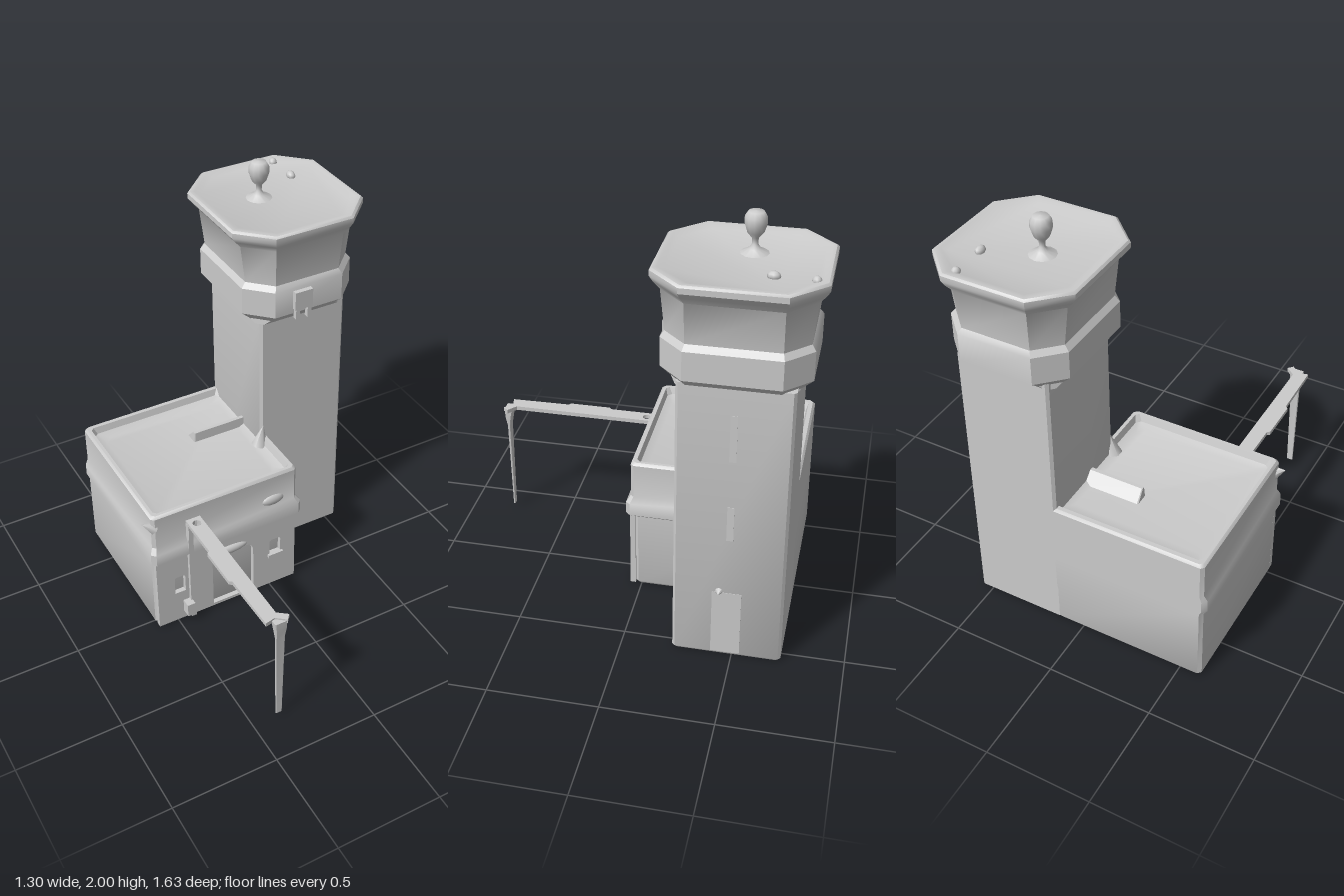
import * as THREE from 'three';
import { toCreasedNormals } from 'three/addons/utils/BufferGeometryUtils.js';

const material = new THREE.MeshStandardMaterial({ color: 0xcccccc });

// Stack of chamfered rectangles, each [y, x0, x1, z0, z1, chamfer], capped at both ends
function loft(rings, crease = 0.6) {
  const pos = [], index = [];
  for (const [y, x0, x1, z0, z1, c] of rings) {
    pos.push(x1, y, z0 + c, x1, y, z1 - c, x1 - c, y, z1, x0 + c, y, z1,
      x0, y, z1 - c, x0, y, z0 + c, x0 + c, y, z0, x1 - c, y, z0);
  }
  for (let i = 0; i < rings.length - 1; i++) {
    for (let j = 0; j < 8; j++) {
      const a = i * 8 + j, b = i * 8 + (j + 1) % 8;
      index.push(a, a + 8, b, b, a + 8, b + 8);
    }
  }
  const t = (rings.length - 1) * 8;
  for (let j = 1; j < 7; j++) index.push(0, j, j + 1, t, t + j + 1, t + j);
  const g = new THREE.BufferGeometry();
  g.setAttribute('position', new THREE.Float32BufferAttribute(pos, 3));
  g.setIndex(index);
  return toCreasedNormals(g, crease);
}

// Closed outline with optional arched top
function opening(x0, x1, y0, y1, r) {
  const p = new THREE.Path();
  p.moveTo(x0, y0);
  p.lineTo(x1, y0);
  p.lineTo(x1, y1 - r);
  p.quadraticCurveTo(x1, y1, x1 - r, y1);
  p.lineTo(x0 + r, y1);
  p.quadraticCurveTo(x0, y1, x0, y1 - r);
  p.closePath();
  return p;
}

export function createModel() {
  const model = new THREE.Group();
  const add = (name, geometry, x = 0, y = 0, z = 0) => {
    const m = new THREE.Mesh(geometry, material);
    m.name = name;
    m.position.set(x, y, z);
    model.add(m);
    return m;
  };
  const box = (name, w, h, d, x, y, z) => add(name, new THREE.BoxGeometry(w, h, d), x, y, z);

  // Low building: walls, string course, parapet and sunken roof in one loft
  add('building', loft([
    [0, -0.595, 0.13, -0.71, 0.02, 0.015],
    [0.015, -0.605, 0.14, -0.72, 0.03, 0.015],
    [0.395, -0.605, 0.145, -0.72, 0.03, 0.015],
    [0.415, -0.62, 0.17, -0.72, 0.07, 0.02],
    [0.475, -0.62, 0.17, -0.72, 0.07, 0.02],
    [0.505, -0.605, 0.15, -0.72, 0.05, 0.015],
    [0.675, -0.605, 0.15, -0.72, 0.05, 0.015],
    [0.688, -0.595, 0.14, -0.71, 0.04, 0.015],
    [0.688, -0.58, 0.125, -0.69, 0.025, 0.015],
    [0.655, -0.57, 0.115, -0.68, 0.015, 0.02],
    [0.64, -0.53, 0.085, -0.64, -0.02, 0.03],
  ]));

  // Lower front wall with doorway and two windows cut out
  const wall = new THREE.Shape(opening(-0.6, 0.14, 0.005, 0.41, 0.005).getPoints(3));
  wall.holes.push(opening(-0.31, -0.09, 0.02, 0.32, 0.05),
    opening(0.0, 0.06, 0.2, 0.29, 0.015), opening(-0.51, -0.455, 0.18, 0.28, 0.015));
  add('frontWall', new THREE.ExtrudeGeometry(wall, { depth: 0.026, bevelEnabled: false }), 0, 0, 0.028);
  const hood = add('doorHood', new THREE.SphereGeometry(1, 16, 10), -0.22, 0.335, 0.05);
  hood.scale.set(0.1, 0.025, 0.022);
  const boss = add('wallBoss', new THREE.SphereGeometry(1, 16, 10), 0.02, 0.54, 0.045);
  boss.scale.set(0.06, 0.03, 0.02);
  box('windowSill', 0.08, 0.018, 0.025, 0.03, 0.195, 0.055);
  box('wallPipe', 0.025, 0.58, 0.025, -0.425, 0.3, 0.06);
  box('pipeFoot', 0.04, 0.07, 0.05, -0.45, 0.085, 0.075);
  const horn = add('cornerHorn', new THREE.ConeGeometry(0.035, 0.07, 6), -0.615, 0.635, 0.025);
  horn.rotation.z = 1.0;

  // Low wedge on the roof
  add('roofWedge', loft([
    [0.635, -0.16, 0.13, -0.48, -0.405, 0.006],
    [0.69, -0.155, 0.13, -0.425, -0.407, 0.004],
  ]));

  // Tower shaft
  add('towerShaft', loft([
    [0, 0.12, 0.55, -0.71, -0.24, 0.012],
    [0.012, 0.112, 0.558, -0.72, -0.23, 0.012],
    [1.37, 0.112, 0.558, -0.72, -0.23, 0.012],
  ]));
  const fillet = add('cornerFillet', new THREE.ConeGeometry(0.04, 0.11, 6), 0.115, 0.7, -0.23);
  fillet.rotation.z = -0.2;

  // Flared octagonal head with a shallow roof dish
  const ring = (y, hx, hz, c) => [y, 0.318 - hx, 0.318 + hx, -0.465 - hz, -0.465 + hz, c];
  add('towerHead', loft([
    ring(1.335, 0.223, 0.245, 0.03), ring(1.36, 0.24, 0.265, 0.07),
    ring(1.4, 0.283, 0.312, 0.11), ring(1.53, 0.283, 0.312, 0.11),
    ring(1.555, 0.262, 0.295, 0.1), ring(1.74, 0.285, 0.312, 0.115),
    ring(1.775, 0.315, 0.338, 0.13), ring(1.8, 0.333, 0.352, 0.14),
    ring(1.825, 0.333, 0.352, 0.14), ring(1.834, 0.324, 0.343, 0.137),
    ring(1.834, 0.305, 0.325, 0.13), ring(1.822, 0.28, 0.3, 0.12),
  ]));
  // Small bracket on the front of the head
  box('headBracket', 0.09, 0.09, 0.04, 0.28, 1.47, -0.15);
  for (const [x, h] of [[0.25, 0.07], [0.31, 0.08]]) box('bracketLeg', 0.02, h, 0.025, x, 1.41, -0.145);

  // Beacon on the roof
  const profile = [[0.06, 1.822], [0.025, 1.84], [0.012, 1.86], [0.014, 1.885], [0.035, 1.91],
    [0.046, 1.945], [0.046, 1.975], [0.033, 1.997], [0, 2.0]];
  add('beacon', new THREE.LatheGeometry(profile.map(p => new THREE.Vector2(...p)), 12), 0.25, 0, -0.49);
  const stud = add('roofStud', new THREE.SphereGeometry(0.02, 8, 6), 0.475, 1.83, -0.595);
  stud.scale.z = 1.4;
  add('rimBump', new THREE.SphereGeometry(0.02, 8, 6), 0.475, 1.825, -0.76);

  // Slit windows, door panel and lamp on the tower's left side
  for (const [y, h] of [[0.71, 0.17], [1.13, 0.22]]) box('slitWindow', 0.006, h, 0.03, 0.557, y, -0.475);
  box('sideDoor', 0.006, 0.33, 0.13, 0.557, 0.18, -0.47);
  const lamp = add('sideLamp', new THREE.ConeGeometry(0.03, 0.05, 8), 0.562, 0.35, -0.435);
  lamp.rotation.z = -Math.PI / 2;

  // Beam reaching forward from the wall, pierced near its root
  const beam = new THREE.Shape([[-0.437, 0.04], [-0.365, 0.04], [-0.365, 0.75], [-0.32, 0.785],
    [-0.342, 0.81], [-0.385, 0.775], [-0.432, 0.785], [-0.437, 0.5], [-0.45, 0.49], [-0.45, 0.29], [-0.437, 0.28]]
    .map(p => new THREE.Vector2(...p)));
  const hole = new THREE.Path();
  hole.absarc(-0.4, 0.09, 0.02, 0, Math.PI * 2, true);
  beam.holes.push(hole);
  const beamGeometry = new THREE.ExtrudeGeometry(beam, { depth: 0.02, bevelEnabled: false, curveSegments: 6 });
  beamGeometry.rotateX(Math.PI / 2);
  add('beam', beamGeometry, 0, 0.608, 0);
  for (const x of [-0.43, -0.372]) box('beamBracket', 0.016, 0.09, 0.04, x, 0.55, 0.06);

  // Slender post under the end of the beam
  add('post', loft([
    [0.02, -0.385, -0.355, 0.785, 0.793, 0.002],
    [0.5, -0.39, -0.345, 0.783, 0.797, 0.003],
    [0.55, -0.395, -0.34, 0.775, 0.805, 0.004],
    [0.6, -0.4, -0.34, 0.765, 0.808, 0.004],
  ]));
  return model;
}
